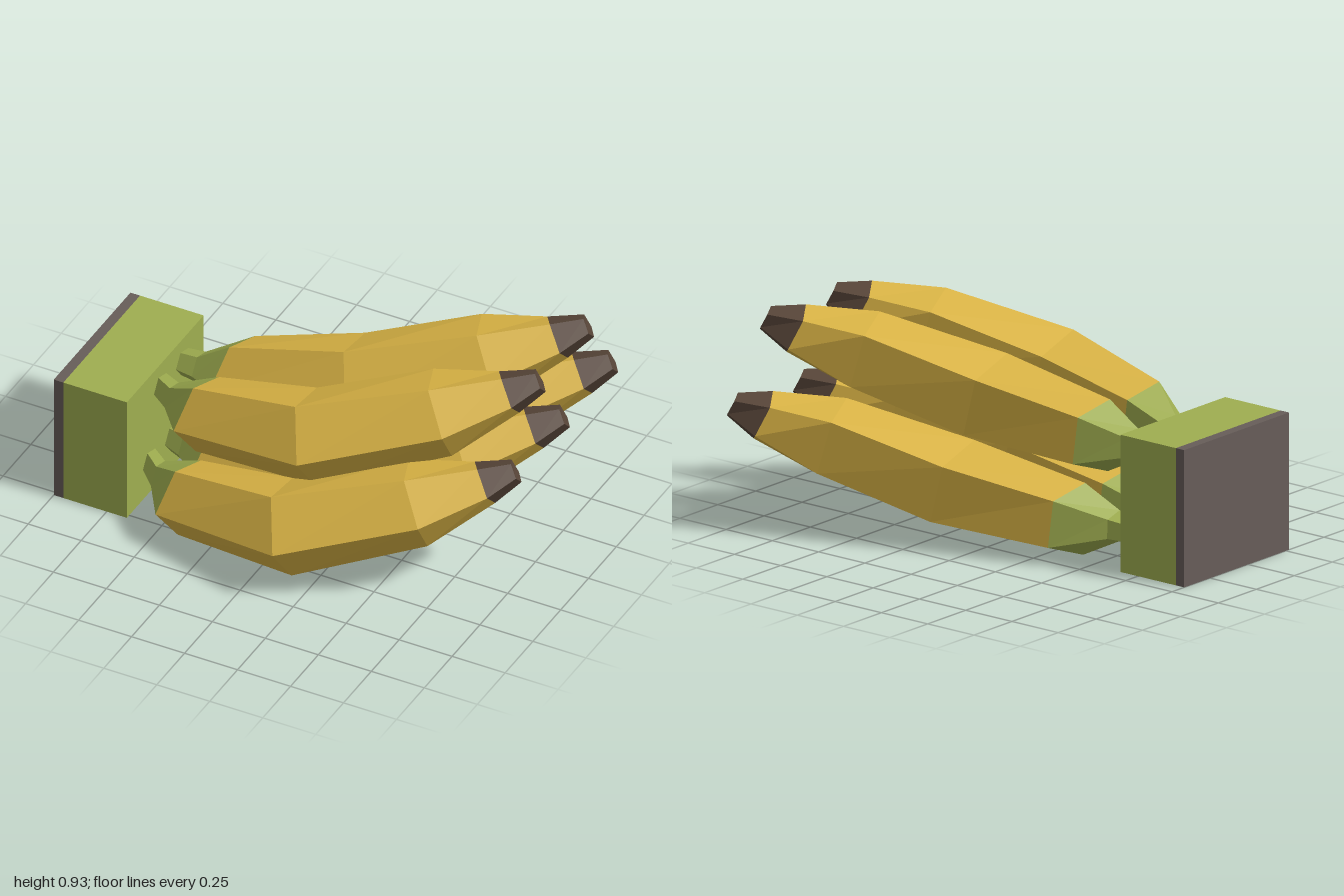
import * as THREE from 'three';

const mat = (name, color) => new THREE.MeshStandardMaterial({ name, color, flatShading: true });

// Five-sided cross-sections [x, y, z] from the stem to the tip:
// outer, upper outer, upper inner, lower inner, lower outer corner
const pentagon = (x, y, z, r) => Array.from({ length: 5 }, (_, k) => {
  const a = THREE.MathUtils.degToRad(-2 + 72 * k);
  return [x, y + r * Math.sin(a), z + r * Math.cos(a)];
});
const RINGS = [
  { spread: 0.19, pts: pentagon(-0.67, 0.155, 0.3, 0.06) },
  { spread: 0.245, pts: pentagon(-0.57, 0.163, 0.395, 0.071) },
  { spread: 0.325, pts: [[-0.46, 0.16, 0.635], [-0.42, 0.33, 0.535], [-0.39, 0.285, 0.36], [-0.37, 0.08, 0.35], [-0.405, 0.012, 0.54]] },
  { spread: 0.435, pts: [[0.165, 0.25, 0.775], [0.09, 0.445, 0.645], [0.07, 0.385, 0.41], [0.13, 0.135, 0.405], [0.18, 0.06, 0.63]] },
  { spread: 0.435, pts: [[0.72, 0.415, 0.525], [0.61, 0.575, 0.44], [0.53, 0.53, 0.24], [0.59, 0.3, 0.22], [0.7, 0.24, 0.4]] },
  { spread: 0.435, pts: [[0.925, 0.495, 0.293], [0.86, 0.6, 0.258], [0.8, 0.56, 0.165], [0.84, 0.44, 0.115], [0.91, 0.4, 0.19]] },
  { spread: 0.435, pts: [[1, 0.547, 0.176], [0.965, 0.597, 0.155], [0.94, 0.577, 0.101], [0.97, 0.518, 0.092], [1, 0.497, 0.126]] },
];

// Skin joining consecutive rings, optionally closed at the far end
function skin(rings, closed) {
  const pos = [];
  const tri = (...corners) => corners.forEach((p) => pos.push(...p));
  for (let i = 0; i + 1 < rings.length; i++) {
    for (let k = 0; k < 5; k++) {
      const n = (k + 1) % 5, a = rings[i], b = rings[i + 1];
      tri(a[k], b[k], b[n]);
      tri(a[k], b[n], a[n]);
    }
  }
  const end = rings[rings.length - 1];
  if (closed) for (let k = 1; k < 4; k++) tri(end[0], end[k + 1], end[k]);
  const geo = new THREE.BufferGeometry();
  geo.setAttribute('position', new THREE.Float32BufferAttribute(pos, 3));
  geo.computeVertexNormals();
  return geo;
}

export function createModel() {
  const yellow = mat('banana yellow', 0xdab445);
  const green = mat('stem green', 0x9fae50);
  const brown = mat('tip brown', 0x574538);
  const grey = mat('cut grey brown', 0x675d59);

  const group = new THREE.Group();
  group.name = 'bananaBunch';
  const add = (parent, name, geo, material) => {
    const mesh = new THREE.Mesh(geo, material);
    mesh.name = name;
    parent.add(mesh);
    return mesh;
  };

  // Crown block with its dry cut end
  add(group, 'crown', new THREE.BoxGeometry(0.3, 0.6, 0.69), green).position.set(-0.805, 0.3, 0.175);
  add(group, 'crownCutEnd', new THREE.BoxGeometry(0.045, 0.6, 0.69), grey).position.set(-0.9775, 0.3, 0.175);

  // Fruits fan out towards the back: step counts spacings from the first one
  const banana = (name, step, lift) => {
    const fruit = new THREE.Group();
    fruit.name = name;
    const rings = RINGS.map(({ spread, pts }) =>
      pts.map(([x, y, z]) => [x, y + lift, z - spread * step]));
    add(fruit, 'stem', skin(rings.slice(0, 3), false), green);
    add(fruit, 'peel', skin(rings.slice(2, 6), false), yellow);
    add(fruit, 'tip', skin(rings.slice(5), true), brown);
    group.add(fruit);
  };
  [0, 1, 2].forEach((s) => banana(`lowerBanana${s + 1}`, s, 0));
  [0.5, 1.5].forEach((s, i) => banana(`upperBanana${i + 1}`, s, 0.327));

  return group;
}
